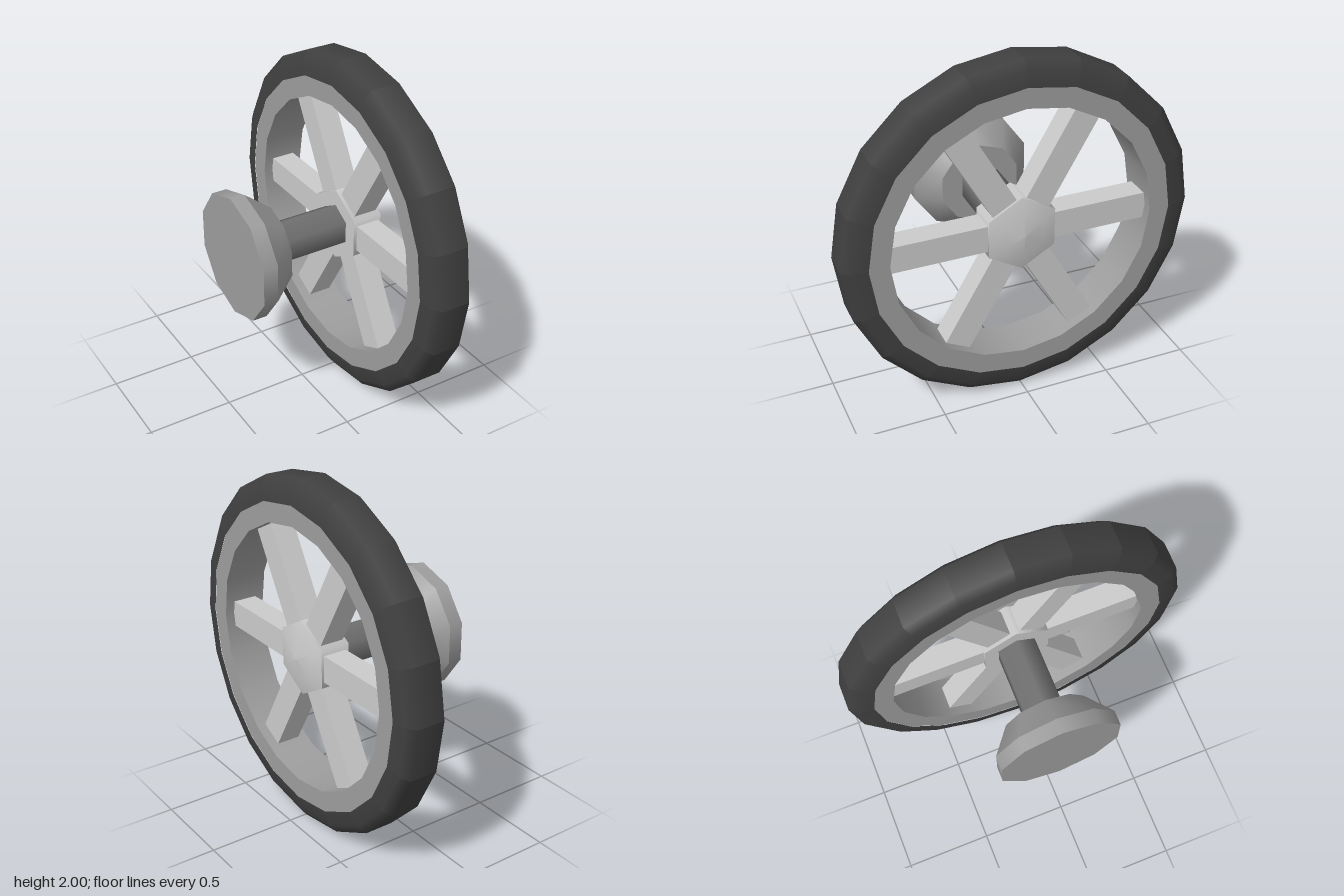
import * as THREE from 'three';
import { mergeGeometries } from 'three/addons/utils/BufferGeometryUtils.js';

const grey = new THREE.MeshStandardMaterial({ color: 0xcccccc });
const midGrey = new THREE.MeshStandardMaterial({ color: 0x9e9e9e });
const darkGrey = new THREE.MeshStandardMaterial({ color: 0x707070 });
const rubber = new THREE.MeshStandardMaterial({ color: 0x404040 });

// Turns strips of [radius, x] points around the x axis; every strip keeps a sharp border.
function turned(strips, sides) {
  const parts = strips.map((strip) => new THREE.LatheGeometry(
    strip.map(([r, x]) => new THREE.Vector2(r, x)), sides, Math.PI / 2));
  return mergeGeometries(parts).rotateZ(-Math.PI / 2);
}

// Splits a closed outline into one strip per edge.
const edges = (points) => points.slice(1).map((p, i) => [points[i], p]);

// Rounded along the profile, but faceted from one segment to the next.
function facetAround(geometry, sides) {
  const g = geometry.toNonIndexed();
  const p = g.attributes.position, n = g.attributes.normal;
  const step = (Math.PI * 2) / sides;
  for (let i = 0; i < p.count; i += 3) {
    let y = 0, z = 0;
    for (let k = i; k < i + 3; k++) { y += p.getY(k); z += p.getZ(k); }
    const mid = (Math.floor(Math.atan2(z, y) / step) + 0.5) * step;
    for (let k = i; k < i + 3; k++) {
      const out = Math.hypot(n.getY(k), n.getZ(k));
      n.setXYZ(k, n.getX(k), out * Math.cos(mid), out * Math.sin(mid));
    }
  }
  return g;
}

export function createModel() {
  const model = new THREE.Group();
  model.name = 'wheelOnAxle';
  const add = (name, geometry, material) => {
    const mesh = new THREE.Mesh(geometry, material);
    mesh.name = name;
    mesh.position.y = 1;
    model.add(mesh);
    return mesh;
  };

  // Tyre with bevelled shoulders
  const tyreProfile = [[0.865, 0.18], [0.95, 0.19], [1, 0.228],
    [1, 0.392], [0.95, 0.43], [0.865, 0.44]];
  add('tyre', facetAround(turned([tyreProfile], 20), 20), rubber);

  // Rim: two flat faces and the inner wall
  add('rim', turned(edges([[0.87, 0.435], [0.75, 0.435], [0.75, 0.185], [0.87, 0.185]]), 20), midGrey);

  // Six spokes
  for (let i = 0; i < 6; i++) {
    const spoke = new THREE.BoxGeometry(0.14, 0.155, 0.66).translate(0, 0, 0.425);
    spoke.rotateX((i * Math.PI) / 3).translate(0.31, 0, 0);
    add('spoke', spoke, grey);
  }

  // Hexagonal hub with a shallow dome
  add('hub', turned([
    [[0, 0.22], [0.22, 0.22]],
    [[0.22, 0.22], [0.22, 0.395]],
    [[0.22, 0.395], [0.13, 0.42], [0, 0.435]],
  ], 6), grey);

  // Axle
  add('axle', turned([[[0.125, -0.22], [0.125, 0.25]]], 6), darkGrey);

  // Flared end knob
  add('endKnob', turned(edges([[0, -0.44], [0.363, -0.44], [0.363, -0.355],
    [0.24, -0.2], [0, -0.2]]), 10), midGrey);

  return model;
}
